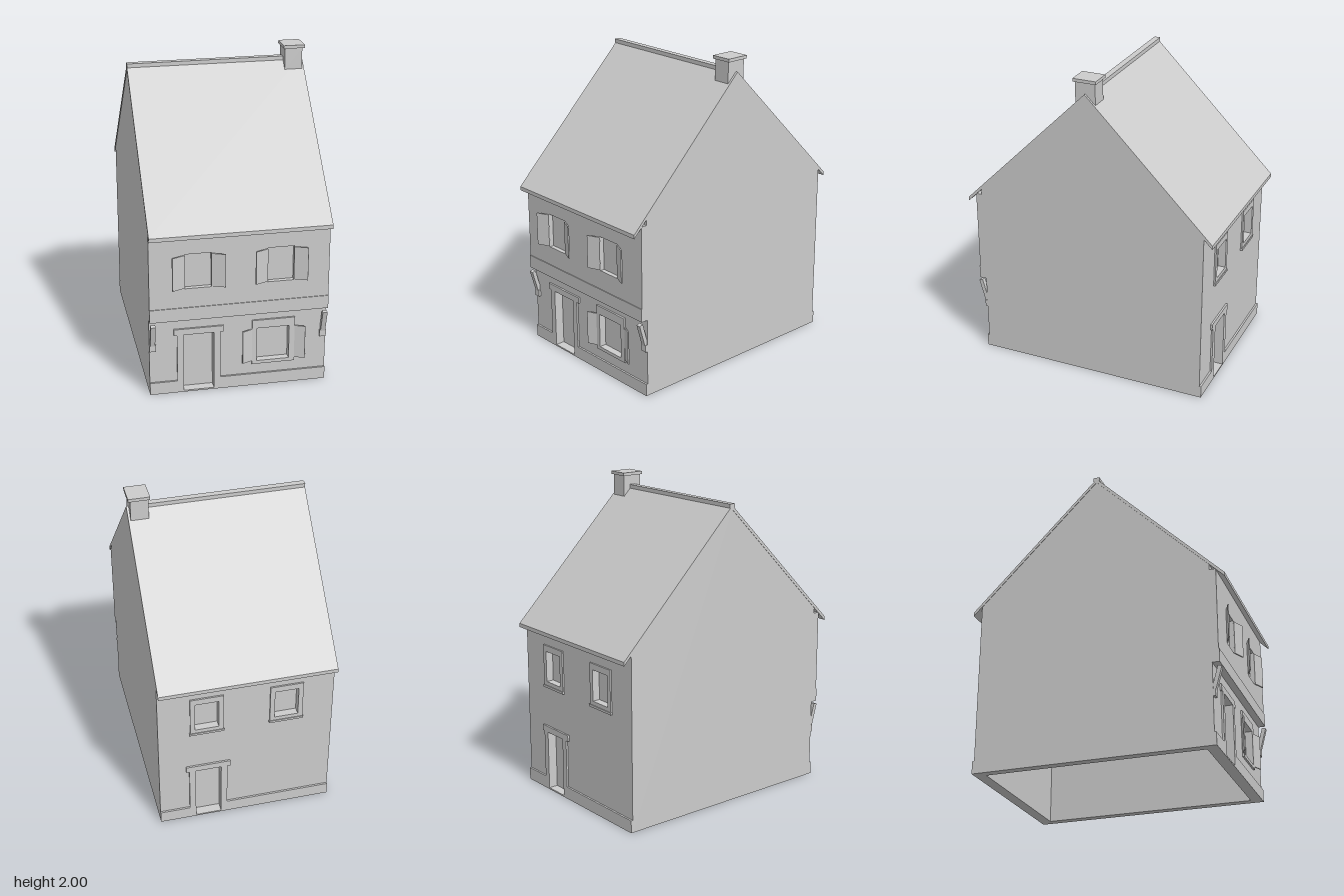
import * as THREE from 'three';

export function createModel() {
  const model = new THREE.Group();
  model.name = 'house';
  const stone = new THREE.MeshStandardMaterial({ color: 0xcccccc });
  stone.name = 'pale grey';
  const W = 0.557; // half width

  const add = (name, geo, parent = model) => {
    const m = new THREE.Mesh(geo, stone);
    m.name = name;
    parent.add(m);
    return m;
  };
  // box given by its limits
  const box = (name, x0, x1, y0, y1, z0, z1, parent) => {
    const m = add(name, new THREE.BoxGeometry(x1 - x0, y1 - y0, z1 - z0), parent);
    m.position.set((x0 + x1) / 2, (y0 + y1) / 2, (z0 + z1) / 2);
    return m;
  };
  const rect = (x0, x1, y0, y1, C = THREE.Shape) => {
    const s = new C();
    s.moveTo(x0, y0).lineTo(x1, y0).lineTo(x1, y1).lineTo(x0, y1).closePath();
    return s;
  };
  // upright slab facing z, with rectangular holes
  const slab = (name, r, z0, z1, holes) => {
    const s = rect(...r);
    holes.forEach(h => s.holes.push(rect(...h, THREE.Path)));
    const g = new THREE.ExtrudeGeometry(s, { depth: z1 - z0, bevelEnabled: false });
    g.translate(0, 0, z0);
    return add(name, g);
  };
  // profile of [z, y] points, extruded from x0 to x1
  const profile = (name, pts, x0, x1) => {
    const s = new THREE.Shape(pts.map(p => new THREE.Vector2(...p)));
    const g = new THREE.ExtrudeGeometry(s, { depth: x1 - x0, bevelEnabled: false });
    g.rotateY(-Math.PI / 2).translate(x1, 0, 0);
    return add(name, g);
  };

  // openings
  const frontDoor = [-0.345, -0.155, 0.01, 0.395];
  const shopWindow = [0.115, 0.32, 0.17, 0.395];
  const upper = [[-0.34, -0.175, 0.72, 0.945], [0.17, 0.335, 0.72, 0.945]];
  const backDoor = [0.16, 0.325, 0.01, 0.395];
  const backWindows = [[0.175, 0.325, 0.74, 0.94], [-0.33, -0.18, 0.74, 0.94]];

  // walls
  const gable = [[-0.77, 0], [0.73, 0], [0.73, 1.16], [0, 1.89], [-0.77, 1.12]];
  profile('leftGable', gable, W - 0.055, W);
  profile('rightGable', gable, -W, -W + 0.055);
  const inner = W - 0.055;
  slab('frontWall', [-inner, inner, 0, 1.155], 0.67, 0.73, [frontDoor, shopWindow, ...upper]);
  slab('jettiedStorey', [-W, W, 0.51, 1.12], 0.73, 0.77, upper);
  box('jettyBeam', -W, W, 0.51, 0.595, 0.77, 0.775);
  slab('backWall', [-inner, inner, 0, 1.115], -0.77, -0.71, [backDoor, ...backWindows]);

  // recessed doors and panes
  const panel = (name, [x0, x1, y0, y1], z) => box(name, x0, x1, y0, y1, z - 0.006, z + 0.006);
  panel('frontDoor', frontDoor, 0.676);
  panel('frontWindowPane', shopWindow, 0.69);
  upper.forEach(h => panel('upperWindowPane', h, 0.735));
  panel('backDoor', backDoor, -0.716);
  backWindows.forEach(h => panel('backWindowPane', h, -0.725));

  // door surrounds and plinths
  const doorway = (side, [x0, x1, , top], z0, z1) => {
    box(side + 'DoorJamb', x0 - 0.04, x0, 0, top, z0, z1);
    box(side + 'DoorJamb', x1, x1 + 0.04, 0, top, z0, z1);
    box(side + 'DoorLintel', x0 - 0.06, x1 + 0.06, top, top + 0.04, z0, z1);
    box(side + 'Threshold', x0, x1, 0, 0.01, z0, z1);
    box(side + 'Plinth', -W, x0 - 0.04, 0, 0.08, z0, z1);
    box(side + 'Plinth', x1 + 0.04, W, 0, 0.08, z0, z1);
  };
  doorway('front', frontDoor, 0.73, 0.742);
  doorway('back', backDoor, -0.782, -0.77);

  // window frames
  slab('frontWindowFrame', [0.085, 0.355, 0.148, 0.45], 0.73, 0.742, [shopWindow]);
  backWindows.forEach(h => {
    const [x0, x1, y0, y1] = h;
    slab('backWindowFrame', [x0 - 0.03, x1 + 0.03, 0.715, y1 + 0.04], -0.78, -0.77, [h]);
    box('backWindowSill', x0 - 0.035, x1 + 0.035, 0.7, 0.715, -0.785, -0.77);
  });

  // shutters, hinged beside the windows and swung slightly off the wall
  const shutters = (x0, x1, y0, y1, z, dx, dz) => {
    for (const s of [-1, 1]) {
      const m = add('shutter', new THREE.BoxGeometry(Math.hypot(dx, dz), y1 - y0, 0.008));
      m.position.set((s < 0 ? x0 : x1) + s * dx / 2, (y0 + y1) / 2, z + dz / 2);
      m.rotation.y = -s * Math.atan2(dz, dx);
    }
  };
  upper.forEach(([x0, x1]) => shutters(x0, x1, 0.725, 0.94, 0.771, 0.08, 0.033));
  shutters(0.085, 0.355, 0.17, 0.39, 0.736, 0.064, 0.027);

  // corner brackets under the jetty
  for (const s of [-1, 1]) {
    const g = new THREE.Group();
    g.name = 'cornerBracket';
    g.position.x = s * (W - 0.02);
    model.add(g);
    box('bracketBlock', -0.02, 0.02, 0.3, 0.345, 0.73, 0.745, g);
    const strut = add('bracketStrut', new THREE.BoxGeometry(0.03, 0.16, 0.025), g);
    strut.position.set(0, 0.41, 0.752);
    strut.rotation.x = 0.27;
  }

  // roof and ridge
  profile('roof', [[-0.825, 1.06], [-0.81, 1.075], [0, 1.885], [0.81, 1.075], [0.825, 1.06],
    [0.825, 1.085], [0, 1.91], [-0.825, 1.085]], -0.56, 0.557);
  box('ridgeCap', -0.56, 0.43, 1.895, 1.92, -0.02, 0.02);

  // chimney
  box('chimneyStack', 0.432, 0.543, 1.842, 1.98, -0.065, 0.065);
  box('chimneyCap', 0.422, 0.557, 1.98, 2, -0.075, 0.075);
  return model;
}
